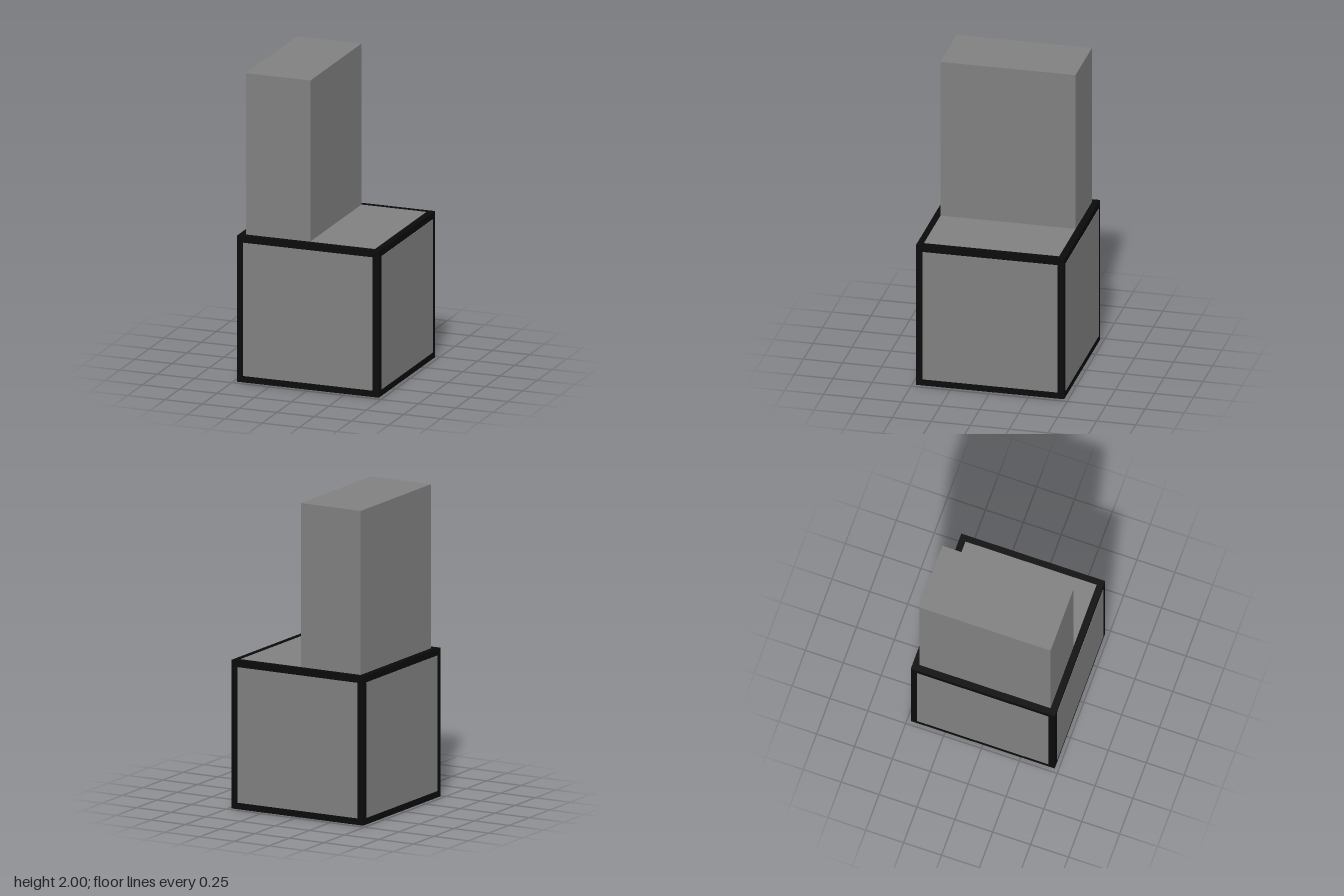
import * as THREE from 'three';

export function createModel() {
  const grey = new THREE.MeshStandardMaterial({ name: 'grey', color: 0x808080 });
  const black = new THREE.MeshStandardMaterial({ name: 'black', color: 0x0a0a0a });

  const size = 0.954, half = size / 2, inner = 0.866, lift = 0.002;
  const model = new THREE.Group();
  model.name = 'blockWithTower';

  // Black base cube, whose edges show as a border round each panel
  const core = size - 2 * lift;
  const base = new THREE.Group();
  base.name = 'baseCube';
  base.position.y = half;
  const frame = new THREE.Mesh(new THREE.BoxGeometry(core, core, core), black);
  frame.name = 'edgeFrame';
  base.add(frame);

  // Thin grey panel on each of the six sides
  const panelGeometry = new THREE.BoxGeometry(inner, inner, lift);
  const sides = {
    frontPanel: [0, 0, 1], backPanel: [0, 0, -1],
    leftPanel: [1, 0, 0], rightPanel: [-1, 0, 0],
    topPanel: [0, 1, 0], bottomPanel: [0, -1, 0],
  };
  for (const [name, direction] of Object.entries(sides)) {
    const normal = new THREE.Vector3(...direction);
    const panel = new THREE.Mesh(panelGeometry, grey);
    panel.name = name;
    panel.quaternion.setFromUnitVectors(new THREE.Vector3(0, 0, 1), normal);
    panel.position.copy(normal).multiplyScalar(half - lift / 2);
    base.add(panel);
  }
  model.add(base);

  // Tall slab standing on the right half of the top panel
  const height = 2 - size;
  const tower = new THREE.Mesh(new THREE.BoxGeometry(inner / 2, height, inner), grey);
  tower.name = 'tower';
  tower.position.set(-inner / 4, size + height / 2, 0);
  model.add(tower);

  return model;
}
